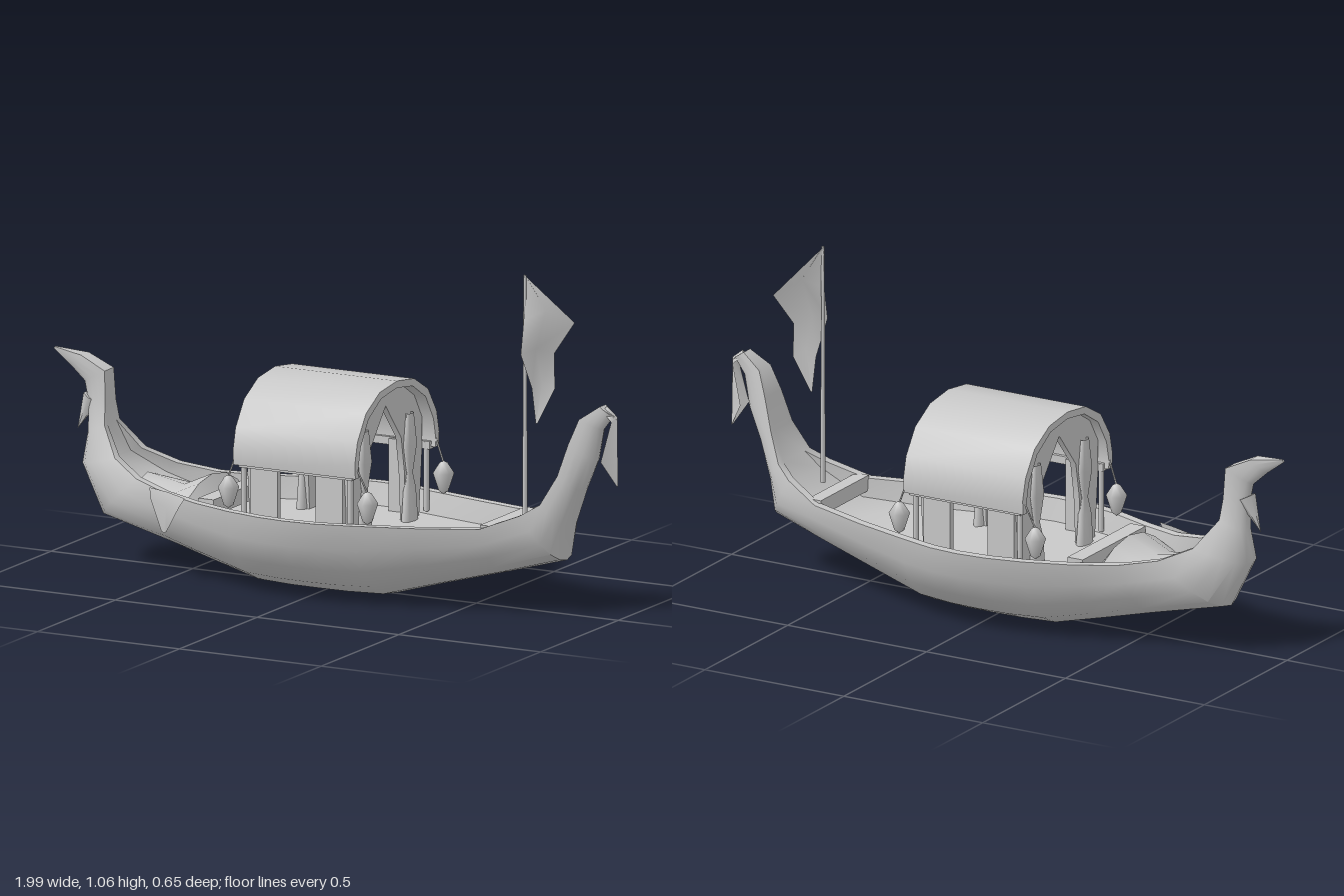
import * as THREE from 'three';
import { toCreasedNormals } from 'three/addons/utils/BufferGeometryUtils.js';

const grey = new THREE.MeshStandardMaterial({ color: 0xc8c8c8, side: THREE.DoubleSide });
grey.name = 'pale grey';

export function createModel() {
  const model = new THREE.Group();
  const add = (name, geometry, x = 0, y = 0, z = 0) => {
    const mesh = new THREE.Mesh(geometry, grey);
    mesh.name = name;
    mesh.position.set(x, y, z);
    model.add(mesh);
    return mesh;
  };

  // Skin a row of equal-length point rings
  const loft = (rings, closed, crease) => {
    const n = rings[0].length, index = [];
    const g = new THREE.BufferGeometry();
    g.setAttribute('position', new THREE.Float32BufferAttribute(rings.flat(2), 3));
    for (let i = 0; i < rings.length - 1; i++) {
      for (let j = 0; j < (closed ? n : n - 1); j++) {
        const k = (j + 1) % n, a = i * n + j, b = i * n + k;
        index.push(a, b, a + n, b, b + n, a + n);
      }
    }
    g.setIndex(index);
    return toCreasedNormals(g, crease);
  };

  // Hull with both end posts: keel x, y, rim x, y, half width, deck depth
  const stations = [
    [-0.99, 0.645, -0.985, 0.652, 0.004, 0],
    [-0.93, 0.6, -0.88, 0.64, 0.025, 0],
    [-0.88, 0.555, -0.795, 0.6, 0.03, 0],
    [-0.865, 0.49, -0.79, 0.5, 0.035, 0],
    [-0.865, 0.4, -0.785, 0.435, 0.05, 0],
    [-0.88, 0.3, -0.72, 0.345, 0.1, 0.01],
    [-0.8, 0.145, -0.62, 0.3, 0.145, 0.03],
    [-0.55, 0.085, -0.5, 0.277, 0.185, 0.06],
    [-0.38, 0.042, -0.37, 0.27, 0.235, 0.07],
    [-0.22, 0.003, -0.22, 0.27, 0.29, 0.07],
    [-0.1, 0, -0.1, 0.27, 0.317, 0.07],
    [0, 0, 0, 0.27, 0.325, 0.07],
    [0.1, 0, 0.1, 0.27, 0.317, 0.07],
    [0.22, 0.003, 0.22, 0.27, 0.285, 0.07],
    [0.4, 0.055, 0.4, 0.272, 0.235, 0.07],
    [0.62, 0.115, 0.6, 0.278, 0.17, 0.06],
    [0.82, 0.172, 0.72, 0.325, 0.125, 0.02],
    [0.84, 0.28, 0.775, 0.36, 0.095, 0],
    [0.885, 0.4, 0.82, 0.45, 0.065, 0],
    [0.93, 0.5, 0.85, 0.55, 0.05, 0],
    [0.95, 0.6, 0.88, 0.63, 0.035, 0],
    [0.985, 0.645, 0.945, 0.675, 0.02, 0],
    [0.995, 0.635, 0.99, 0.645, 0.006, 0],
  ];
  const hull = stations.map(([kx, ky, tx, ty, w, d]) => {
    const h = ty - ky, ring = [];
    const at = (z, f) => ring.push([tx + (kx - tx) * f, ty - h * f, z]);
    for (let j = 0; j <= 10; j++) {
      const t = (j / 10) * Math.PI;
      at(w * Math.cos(t), Math.sin(t));
    }
    const wi = Math.max(w * 0.6, w - 0.03), f = d / Math.max(h, 0.02);
    at(-wi, 0); at(-wi * 0.94, f); at(wi * 0.94, f); at(wi, 0);
    return ring;
  });
  add('hull', loft(hull, true, 0.75));

  // Thwarts and the cover behind the rear seat
  add('frontThwart', new THREE.BoxGeometry(0.045, 0.05, 0.29), 0.615, 0.262, 0);
  add('rearSeat', new THREE.BoxGeometry(0.055, 0.05, 0.38), -0.35, 0.25, 0);
  const cover = [[-0.66, 0.29, 0.09], [-0.53, 0.265, 0.15], [-0.43, 0.31, 0.16], [-0.38, 0.24, 0.19]]
    .map(([x, y, w]) => [1, 0.55, 0, -0.55, -1].map((s) => [x, y - 0.05 * s * s, -w * s]));
  add('rearCover', loft(cover, false, 1));

  // Cross-section shapes extruded along the length of the boat
  const extrudeX = (shape, length) => {
    const g = new THREE.ExtrudeGeometry(shape, { depth: length, bevelEnabled: false });
    g.translate(0, 0, -length / 2);
    g.rotateY(Math.PI / 2);
    return toCreasedNormals(g, 0.6);
  };
  const half = [[0.268, 0.415], [0.272, 0.46], [0.255, 0.53], [0.2, 0.61], [0.11, 0.66]];
  const arch = [...half, [0, 0.674], ...half.slice().reverse().map(([z, y]) => [-z, y])];
  const vec = (list) => list.map(([a, b]) => new THREE.Vector2(a, b));
  const inner = arch.map(([z, y]) => [z * 0.92, y === 0.415 ? y : y - 0.022]);

  // Arched cabin roof
  add('cabinRoof', extrudeX(new THREE.Shape(vec([...arch, ...inner.reverse()])), 0.43), 0.005, 0, 0);

  // End walls with pointed openings, and their gathered curtains
  const wall = new THREE.Shape(vec([[0.215, 0.2], [0.235, 0.42], [0.235, 0.52], [0.185, 0.6],
    [0.1, 0.645], [0, 0.657], [-0.1, 0.645], [-0.185, 0.6], [-0.235, 0.52], [-0.235, 0.42], [-0.215, 0.2],
    [-0.13, 0.2], [-0.12, 0.36], [-0.1, 0.47], [0, 0.59], [0.1, 0.47], [0.12, 0.36], [0.13, 0.2]]));
  for (const s of [-1, 1]) {
    add('endWall', extrudeX(wall, 0.02), s * 0.17, 0, 0);
    for (const side of [-1, 1]) {
      const curtain = add('curtain', new THREE.LatheGeometry(
        vec([[0.04, 0], [0.03, 0.1], [0.015, 0.15], [0.035, 0.24], [0.02, 0.34]]), 8),
      s * 0.185, 0.2, side * 0.145);
      curtain.scale.x = 0.5;
    }
  }

  // Side panels, eave rails and corner posts
  for (const side of [-1, 1]) {
    for (const x of [-0.115, 0.115]) {
      add('sidePanel', new THREE.BoxGeometry(0.095, 0.24, 0.02), x, 0.31, side * 0.235);
    }
    add('eaveRail', new THREE.BoxGeometry(0.4, 0.025, 0.025), 0.005, 0.42, side * 0.25);
    for (const x of [-0.185, 0.19]) {
      add('cornerPost', new THREE.CylinderGeometry(0.009, 0.009, 0.22, 6), x, 0.32, side * 0.245);
    }
  }

  // Hanging lanterns at the four cabin corners
  const lantern = new THREE.LatheGeometry(
    vec([[0, -0.055], [0.015, -0.045], [0.033, 0.012], [0.012, 0.045], [0, 0.05]]), 6);
  for (const x of [-0.24, 0.25]) {
    for (const z of [-0.245, 0.245]) {
      add('lantern', lantern, x, 0.325, z);
      const cord = new THREE.LineCurve3(new THREE.Vector3(x, 0.37, z),
        new THREE.Vector3(x * 0.86, 0.45, z * 1.04));
      add('lanternCord', new THREE.TubeGeometry(cord, 1, 0.003, 5));
    }
  }

  // Flag pole and rippled pennant
  add('flagPole', new THREE.CylinderGeometry(0.005, 0.008, 0.77, 6), 0.674, 0.675, 0.005);
  const flag = [
    [[0.668, 1.062, 0], [0.671, 1.06, 0], [0.675, 1.055, 0]],
    [[0.675, 0.92, 0.015], [0.735, 0.95, -0.02], [0.8, 0.905, -0.085]],
    [[0.678, 0.815, 0.04], [0.71, 0.83, 0], [0.75, 0.81, -0.045]],
    [[0.69, 0.7, -0.01], [0.72, 0.72, -0.02], [0.755, 0.7, -0.04]],
    [[0.698, 0.588, -0.02], [0.701, 0.588, -0.02], [0.704, 0.588, -0.02]],
  ];
  add('pennant', loft(flag, false, 1));

  // Drape hanging from the tip of the bow post
  const drape = [
    [[0.95, 0.66, 0.012], [0.96, 0.675, 0], [0.95, 0.66, -0.012]],
    [[0.985, 0.63, 0.018], [0.997, 0.645, 0], [0.985, 0.63, -0.018]],
    [[0.95, 0.5, 0.022], [0.998, 0.53, 0], [0.955, 0.5, -0.022]],
    [[0.997, 0.425, 0.004], [1, 0.425, 0], [0.997, 0.425, -0.004]],
  ];
  add('bowDrape', loft(drape, false, 1));

  // Curled leaf on the stern post
  const leaf = add('sternLeaf', new THREE.ConeGeometry(0.03, 0.12, 6), -0.88, 0.455, 0);
  leaf.rotation.z = Math.PI - 0.45;

  // Cloth corner hanging over the front side of the hull
  const cloth = [
    [[-0.56, 0.285, 0.17], [-0.48, 0.285, 0.2], [-0.4, 0.28, 0.235]],
    [[-0.55, 0.25, 0.18], [-0.48, 0.24, 0.21], [-0.42, 0.25, 0.235]],
    [[-0.51, 0.155, 0.185], [-0.5, 0.15, 0.187], [-0.49, 0.155, 0.189]],
  ];
  add('hangingCloth', loft(cloth.map((row) => row.reverse()), false, 1));

  return model;
}
